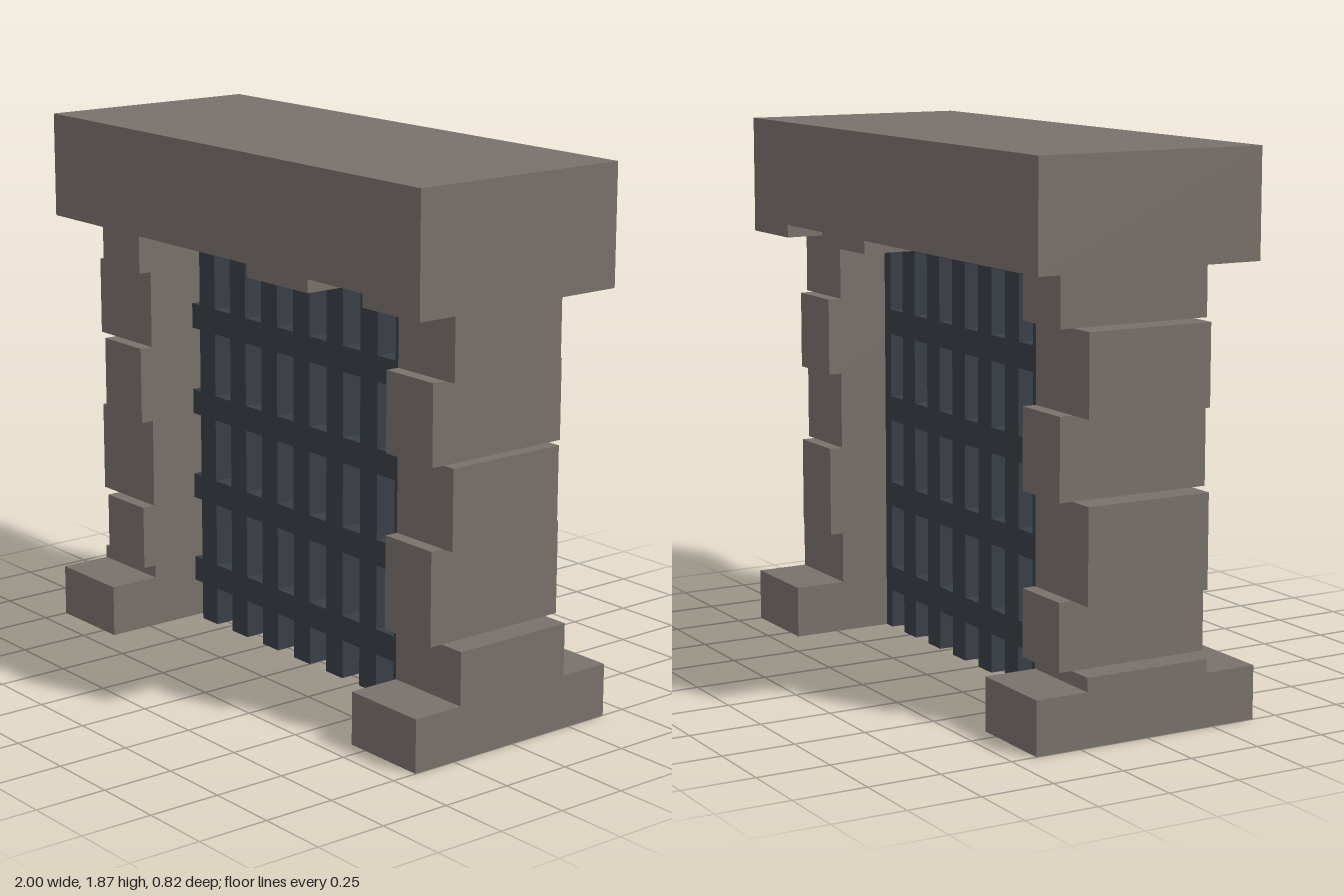
import * as THREE from 'three';

export function createModel() {
  const model = new THREE.Group();
  model.name = 'gateway';

  const stone = new THREE.MeshStandardMaterial({ color: 0x78716b });
  stone.name = 'stone';
  const iron = new THREE.MeshStandardMaterial({ color: 0x383f46 });
  iron.name = 'iron';

  // Box given by its limits, centred on z = 0
  function block(parent, name, material, x0, x1, y0, y1, halfZ) {
    const mesh = new THREE.Mesh(new THREE.BoxGeometry(x1 - x0, y1 - y0, halfZ * 2), material);
    mesh.position.set((x0 + x1) / 2, (y0 + y1) / 2, 0);
    mesh.name = name;
    parent.add(mesh);
  }

  const inner = 0.682;

  // Pillars: a wide foot and courses of [bottom, top, outer x, half depth]
  function pillar(name, side, courses) {
    const group = new THREE.Group();
    group.name = name;
    for (const [y0, y1, outer, halfZ] of courses) {
      const xs = [side * inner, side * outer].sort((a, b) => a - b);
      block(group, y0 === 0 ? 'pillarFoot' : 'pillarStone', stone, xs[0], xs[1], y0, y1, halfZ);
    }
    model.add(group);
  }
  pillar('leftPillar', 1, [
    [0, 0.182, 1, 0.41],
    [0.182, 0.364, 1, 0.225],
    [0.364, 0.682, 0.907, 0.273],
    [0.682, 0.955, 0.953, 0.225],
    [0.955, 1.228, 0.907, 0.273],
    [1.228, 1.5, 0.953, 0.225],
  ]);
  pillar('rightPillar', -1, [
    [0, 0.182, 1, 0.41],
    [0.182, 0.228, 1, 0.225],
    [0.228, 0.455, 0.907, 0.273],
    [0.455, 0.773, 1, 0.225],
    [0.773, 1.046, 0.907, 0.273],
    [1.046, 1.319, 1, 0.225],
    [1.319, 1.5, 0.907, 0.273],
  ]);

  // Lintel with an uneven, stepped underside
  const high = 1.5, low = 1.455, top = 1.865;
  const outline = [
    [-1, high], [0.135, high], [0.135, low], [0.453, low], [0.453, high],
    [0.727, high], [0.727, low], [1, low], [1, top], [-1, top],
  ].map(([x, y]) => new THREE.Vector2(x, y));
  const lintelGeometry = new THREE.ExtrudeGeometry(new THREE.Shape(outline), {
    depth: 0.82, bevelEnabled: false,
  });
  lintelGeometry.translate(0, 0, -0.41);
  const lintel = new THREE.Mesh(lintelGeometry, stone);
  lintel.name = 'lintel';
  model.add(lintel);

  // Portcullis: square bars, the last upright partly set into the left pillar
  const portcullis = new THREE.Group();
  portcullis.name = 'portcullis';
  const bar = 0.09, half = bar / 2;
  for (let i = 0; i < 8; i++) {
    const x = -0.636 + i * 0.182;
    block(portcullis, 'uprightBar', iron, x, Math.min(x + bar, inner), 0, high, half);
  }
  for (let i = 0; i < 5; i++) {
    const y = 0.138 + i * 0.318;
    block(portcullis, 'crossBar', iron, -inner, inner, y, Math.min(y + bar, high), half);
  }
  model.add(portcullis);

  return model;
}
